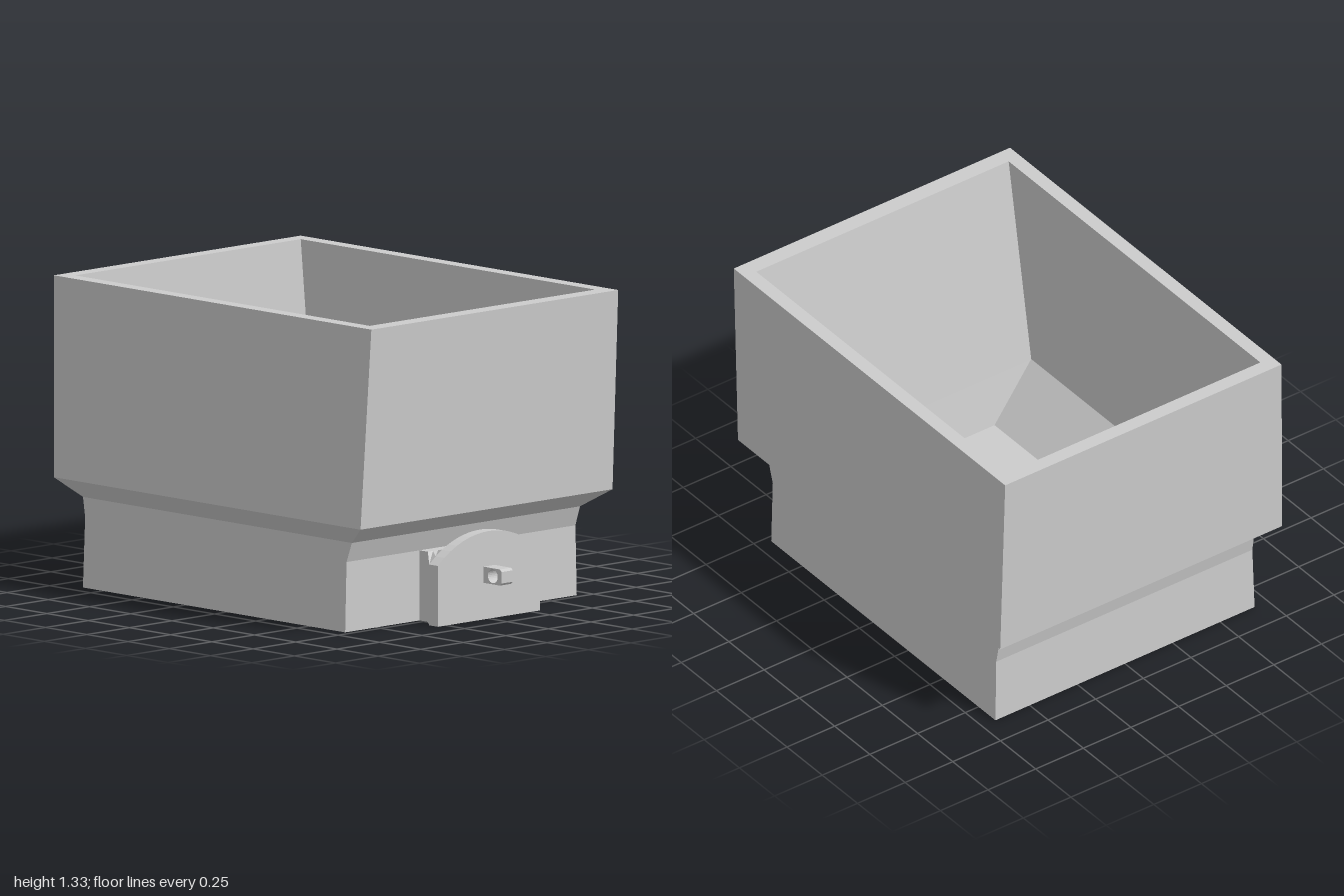
import * as THREE from 'three';

const material = new THREE.MeshStandardMaterial({ color: 0xcccccc, flatShading: true });

// Skins a list of equal-length rings (counter-clockwise towards the last ring) and caps both ends.
function loft(rings) {
  const positions = [];
  const tri = (a, b, c) => positions.push(...a, ...b, ...c);
  const n = rings[0].length;
  for (let r = 0; r < rings.length - 1; r++) {
    const a = rings[r], b = rings[r + 1];
    for (let i = 0; i < n; i++) {
      const j = (i + 1) % n;
      tri(a[i], a[j], b[j]);
      tri(a[i], b[j], b[i]);
    }
  }
  const first = rings[0], last = rings[rings.length - 1];
  for (let i = 1; i < n - 1; i++) {
    tri(first[0], first[i + 1], first[i]);
    tri(last[0], last[i], last[i + 1]);
  }
  const geometry = new THREE.BufferGeometry();
  geometry.setAttribute('position', new THREE.Float32BufferAttribute(positions, 3));
  geometry.computeVertexNormals();
  return geometry;
}

function addPart(group, name, geometry) {
  const mesh = new THREE.Mesh(geometry, material);
  mesh.name = name;
  group.add(mesh);
  return mesh;
}

export function createModel() {
  const group = new THREE.Group();
  group.name = 'hopperWagon';

  // Open hopper: outside from the base to the rim, then down the inside to the floor.
  // Each level is [y, half width, front z, back z].
  const levels = [
    [0, 0.68, 0.72, -0.87],
    [0.3, 0.672, 0.72, -0.865],
    [0.385, 0.67, 0.75, -0.88],
    [0.465, 0.74, 0.875, -0.985],
    [1.325, 0.725, 0.925, -1],
    [1.325, 0.662, 0.85, -0.935],
    [0.385, 0.662, 0.69, -0.845],
    [0.16, 0.44, 0.65, -0.825],
  ];
  addPart(group, 'hopperBody', loft(levels.map(([y, x, front, back]) => [
    [x, y, front], [x, y, back], [-x, y, back], [-x, y, front],
  ])));

  // Arched plate whose back tapers into a rectangular mount.
  const steps = 16, radius = 0.449;
  const arch = [];
  for (let i = 0; i <= steps; i++) {
    const x = 0.3 - 0.6 * i / steps;
    arch.push([x, 0.375 - radius + Math.sqrt(radius * radius - x * x)]);
  }
  const plateOutline = [[-0.3, 0], [0.3, 0], ...arch];
  const mountOutline = plateOutline.map(([x, y]) => [x * 0.81, y > 0 ? 0.3 : 0]);
  const atDepth = (outline, z) => outline.map(([x, y]) => [x, y, z]);
  addPart(group, 'couplerPlate', loft([
    atDepth(mountOutline, 0.71),
    atDepth(mountOutline, 0.77),
    atDepth(plateOutline, 0.837),
    atDepth(plateOutline, 0.89),
  ]));

  // Hitch eye: a small lug with a sideways hole, drawn in (z, y).
  const lug = new THREE.Shape();
  lug.moveTo(0.88, 0.157);
  lug.lineTo(0.99, 0.157);
  lug.lineTo(1, 0.167);
  lug.lineTo(1, 0.216);
  lug.lineTo(0.99, 0.226);
  lug.lineTo(0.88, 0.226);
  lug.closePath();
  const hole = new THREE.Path();
  hole.absarc(0.947, 0.192, 0.03, 0, Math.PI * 2, true);
  lug.holes.push(hole);
  const lugGeometry = new THREE.ExtrudeGeometry(lug, { depth: 0.066, bevelEnabled: false, curveSegments: 12 });
  lugGeometry.translate(0, 0, -0.033);
  lugGeometry.rotateY(-Math.PI / 2);
  addPart(group, 'hitchEye', lugGeometry);

  return group;
}
